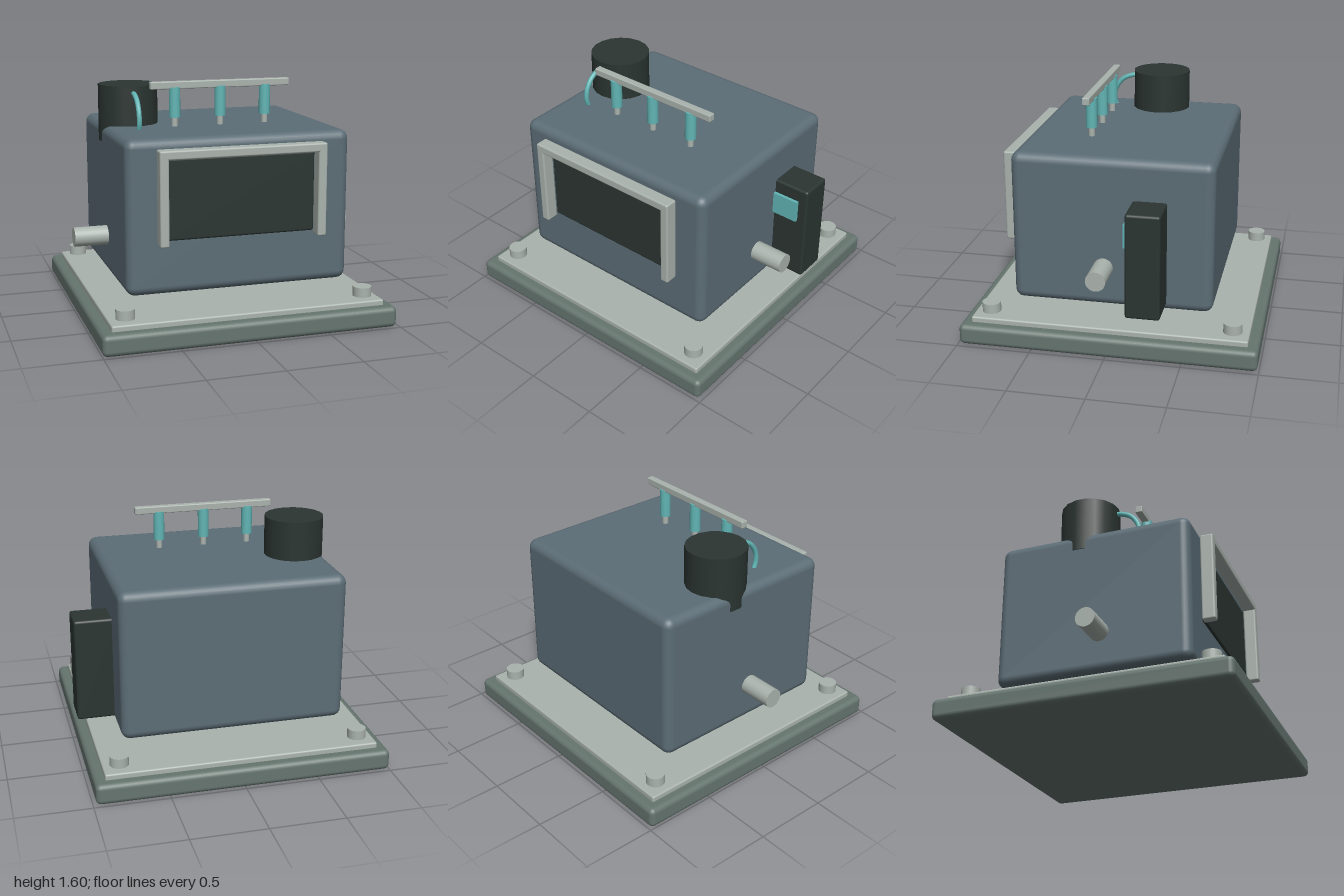
import * as THREE from 'three';
import { RoundedBoxGeometry } from 'three/addons/geometries/RoundedBoxGeometry.js';

const paint = (color) => new THREE.MeshStandardMaterial({ color });

export function createModel() {
  const model = new THREE.Group();
  const slate = paint(0x5c6d76);
  const base = paint(0x66756f);
  const metal = paint(0xaab3ad);
  const dark = paint(0x2b3532);
  const teal = paint(0x62b5b5);

  const add = (name, geometry, material, x = 0, y = 0, z = 0) => {
    const mesh = new THREE.Mesh(geometry, material);
    mesh.name = name;
    mesh.position.set(x, y, z);
    model.add(mesh);
    return mesh;
  };
  // Rounded box given by its extents along each axis
  const box = (name, material, [x0, x1], [y0, y1], [z0, z1], radius) =>
    add(name, new RoundedBoxGeometry(x1 - x0, y1 - y0, z1 - z0, 3, radius), material,
      (x0 + x1) / 2, (y0 + y1) / 2, (z0 + z1) / 2);
  // Upright cylinder from y0 to y1
  const post = (name, material, r, x, [y0, y1], z, sides = 20) =>
    add(name, new THREE.CylinderGeometry(r, r, y1 - y0, sides), material, x, (y0 + y1) / 2, z);

  // Base slab, top plate and the four corner bolts
  box('baseSlab', base, [-1, 0.98], [0, 0.14], [-0.99, 0.99], 0.035);
  box('basePlate', metal, [-0.93, 0.91], [0.13, 0.177], [-0.92, 0.92], 0.012);
  for (const sx of [-1, 1]) {
    for (const sz of [-1, 1]) {
      post('cornerBolt', metal, 0.062, -0.01 + sx * 0.81, [0.185, 0.25], sz * 0.81, 24);
    }
  }

  // Main housing with its shallow underside pan
  box('housing', slate, [-0.77, 0.75], [0.265, 1.285], [-0.667, 0.667], 0.06);
  box('bottomPan', dark, [-0.635, 0.615], [0.243, 0.35], [-0.453, 0.453], 0.02);

  // Front window panel and three-sided frame
  box('windowPanel', dark, [-0.52, 0.495], [0.625, 1.16], [0.6, 0.682], 0.015);
  box('frameTop', metal, [-0.575, 0.55], [1.165, 1.225], [0.68, 0.77], 0.012);
  box('frameSide', metal, [-0.575, -0.515], [0.605, 1.225], [0.68, 0.77], 0.012);
  box('frameSide', metal, [0.49, 0.55], [0.605, 1.225], [0.68, 0.77], 0.012);

  // Shaft running through the housing
  const shaft = add('shaft', new THREE.CylinderGeometry(0.066, 0.066, 1.98, 28), metal, -0.01, 0.537, 0.055);
  shaft.rotation.z = Math.PI / 2;

  // Control box with its small display
  box('controlBox', dark, [0.7, 1], [0.31, 1.015], [-0.365, -0.138], 0.018);
  add('display', new THREE.BoxGeometry(0.2, 0.155, 0.05), teal, 0.835, 0.843, -0.14);

  // Round canister overhanging the top edge
  post('canister', dark, 0.203, -0.575, [1.17, 1.555], -0.095, 18);

  // Curved hose from the canister down to the housing
  const hosePath = new THREE.CatmullRomCurve3([
    [0.05, 1.505], [0.12, 1.505], [0.2, 1.47], [0.25, 1.4], [0.26, 1.33], [0.24, 1.26],
  ].map(([z, y]) => new THREE.Vector3(-0.58, y, z)));
  add('hose', new THREE.TubeGeometry(hosePath, 32, 0.017, 12), teal);

  // Rail carrying three nozzles
  box('rail', metal, [-0.5, 0.475], [1.545, 1.595], [0.2, 0.25], 0.007);
  for (const x of [-0.33, -0.013, 0.305]) {
    post('nozzleBody', teal, 0.038, x, [1.355, 1.557], 0.226);
    post('nozzleTip', metal, 0.021, x, [1.295, 1.36], 0.226);
  }
  return model;
}
